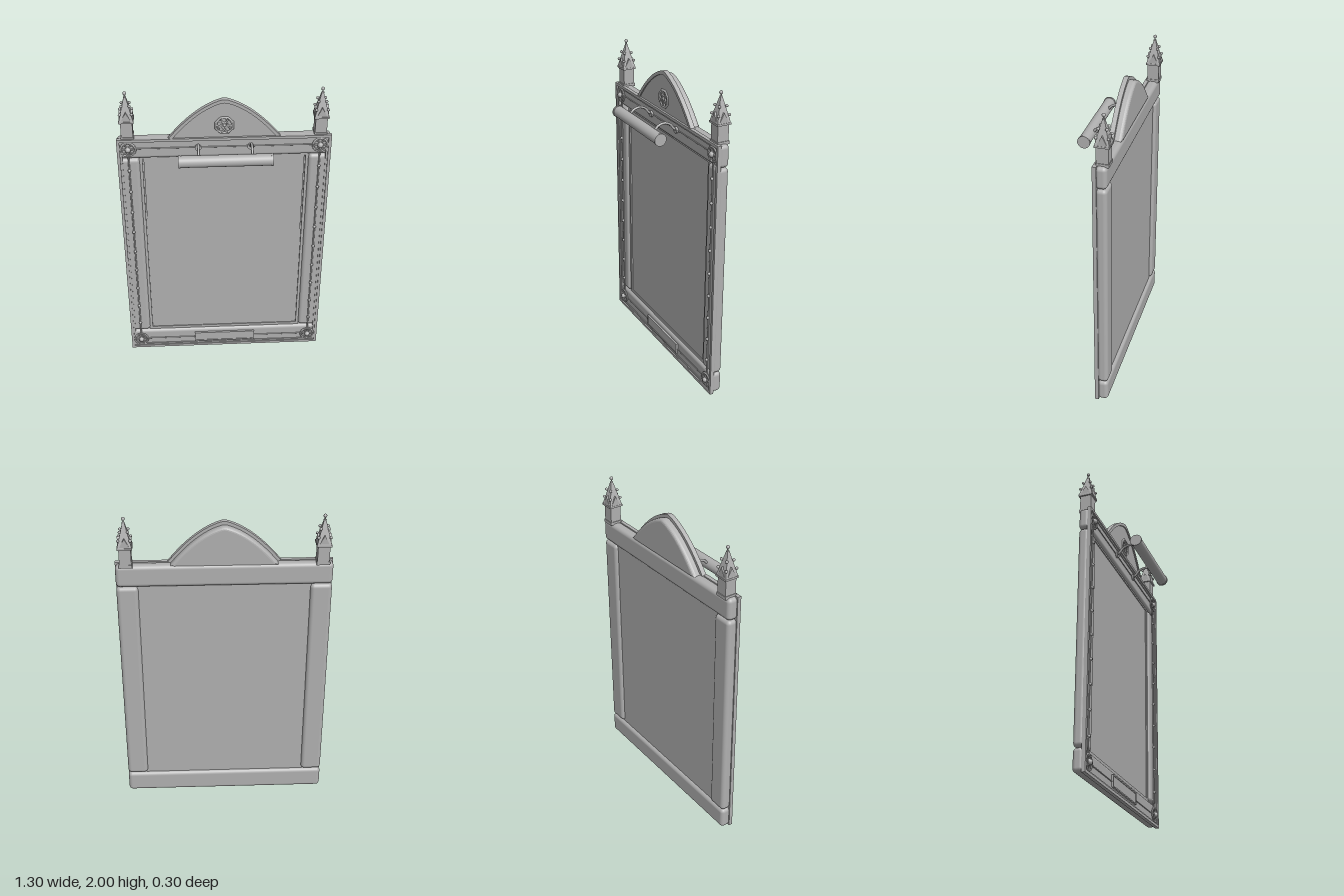
import * as THREE from 'three';
import { RoundedBoxGeometry } from 'three/addons/geometries/RoundedBoxGeometry.js';

const grey = new THREE.MeshStandardMaterial({ color: 0xb0b0b0 });
grey.name = 'plain grey';

function add(parent, name, geometry, x = 0, y = 0, z = 0) {
  const mesh = new THREE.Mesh(geometry, grey);
  mesh.name = name;
  mesh.position.set(x, y, z);
  parent.add(mesh);
  return mesh;
}

function box(parent, name, x0, x1, y0, y1, z0, z1, r = 0) {
  const w = x1 - x0, h = y1 - y0, d = z1 - z0;
  const g = r ? new RoundedBoxGeometry(w, h, d, 4, r) : new THREE.BoxGeometry(w, h, d);
  return add(parent, name, g, (x0 + x1) / 2, (y0 + y1) / 2, (z0 + z1) / 2);
}

function rectPath(Type, x, y0, y1) {
  const p = new Type();
  p.moveTo(-x, y0);
  p.lineTo(x, y0);
  p.lineTo(x, y1);
  p.lineTo(-x, y1);
  p.closePath();
  return p;
}

// Rectangular ring with a square section, given by its outer size and width
function border(parent, name, x, y0, y1, w, z0, z1) {
  const shape = rectPath(THREE.Shape, x, y0, y1);
  shape.holes.push(rectPath(THREE.Path, x - w, y0 + w, y1 - w));
  add(parent, name, new THREE.ExtrudeGeometry(shape, { depth: z1 - z0, bevelEnabled: false }), 0, 0, z0);
}

// Pointed arch; w is the half width at the foot
function archPath(Type, w, y0, top) {
  const p = new Type(), h = top - y0;
  p.moveTo(-w, y0);
  p.lineTo(w, y0);
  p.quadraticCurveTo(w * 0.52, y0 + h * 0.8, 0.02, top - 0.003);
  p.quadraticCurveTo(0, top + 0.003, -0.02, top - 0.003);
  p.quadraticCurveTo(-w * 0.52, y0 + h * 0.8, -w, y0);
  return p;
}

// Round tracery: an outer ring, a circle of small rings and a centre boss
function rosette(name, radius, petals, sides, boss) {
  const g = new THREE.Group();
  g.name = name;
  const t = radius * 0.12;
  add(g, 'rosetteRing', new THREE.TorusGeometry(radius - t, t, 6, sides)).rotation.z = Math.PI / sides;
  for (let i = 0; i < petals; i++) {
    const a = Math.PI / 2 + i * 2 * Math.PI / petals;
    add(g, 'rosettePetal', new THREE.TorusGeometry(radius * 0.27, t * 0.8, 6, 14),
      Math.cos(a) * radius * 0.53, Math.sin(a) * radius * 0.53, 0);
  }
  add(g, 'rosetteBoss', new THREE.SphereGeometry(boss, 12, 8), 0, 0, boss * 0.3);
  return g;
}

// Square turret with gables, spire, crockets and finial
function pinnacle() {
  const g = new THREE.Group();
  g.name = 'pinnacle';
  box(g, 'pinnacleFoot', -0.04, 0.04, 1.69, 1.71, -0.04, 0.04);
  box(g, 'pinnacleShaft', -0.036, 0.036, 1.7, 1.815, -0.036, 0.036);
  box(g, 'pinnacleEaves', -0.045, 0.045, 1.808, 1.82, -0.045, 0.045);
  const spire = new THREE.CylinderGeometry(0.005 * Math.SQRT2, 0.043 * Math.SQRT2, 0.15, 4).toNonIndexed();
  spire.computeVertexNormals();
  add(g, 'spire', spire.rotateY(Math.PI / 4), 0, 1.895, 0);
  const gable = new THREE.Shape([[-0.032, 1.82], [0.032, 1.82], [0, 1.88]].map(p => new THREE.Vector2(...p)));
  for (let i = 0; i < 4; i++) {
    const side = new THREE.Group();
    side.name = 'pinnacleSide';
    side.rotation.y = i * Math.PI / 2;
    g.add(side);
    add(side, 'gable', new THREE.ExtrudeGeometry(gable, { depth: 0.022, bevelEnabled: false }), 0, 0, 0.02);
    for (const [r, y] of [[0.036, 1.865], [0.024, 1.915]]) {
      add(side, 'crocket', new THREE.SphereGeometry(0.009, 10, 8), r, y, r);
    }
  }
  add(g, 'finialCollar', new THREE.CylinderGeometry(0.009, 0.009, 0.007, 12), 0, 1.963, 0);
  add(g, 'finialStem', new THREE.CylinderGeometry(0.004, 0.004, 0.03, 8), 0, 1.975, 0);
  add(g, 'finialBall', new THREE.SphereGeometry(0.011, 12, 8), 0, 1.989, 0);
  return g;
}

export function createModel() {
  const model = new THREE.Group();
  model.name = 'ornateFrame';

  // Cushioned rails and stiles
  const back = -0.135, front = -0.066;
  box(model, 'bottomRail', -0.65, 0.65, 0.005, 0.148, back, front, 0.025);
  box(model, 'topRail', -0.65, 0.65, 1.557, 1.697, back, front, 0.025);
  for (const s of [-1, 1]) {
    const x = s * 0.584;
    box(model, 'stile', x - 0.066, x + 0.066, 0.15, 1.555, back, front, 0.025);
  }

  // Edge mouldings on the front
  border(model, 'outerLip', 0.652, 0, 1.7, 0.018, -0.076, -0.052);
  border(model, 'innerLip', 0.634, 0.018, 1.682, 0.012, -0.076, -0.06);

  // Picture panel with its slip
  box(model, 'panel', -0.525, 0.525, 0.14, 1.565, -0.115, -0.095);
  border(model, 'panelSlip', 0.522, 0.146, 1.566, 0.02, -0.1, -0.082);
  box(model, 'pictureSurface', -0.495, 0.495, 0.165, 1.545, -0.1, -0.087);

  // Beaded rods, horizontal rods and corner rosettes
  for (const s of [-1, 1]) {
    const x = s * 0.585;
    add(model, 'sideRod', new THREE.CylinderGeometry(0.005, 0.005, 1.55, 8), x, 0.852, -0.064);
    for (let i = 0; i < 9; i++) {
      add(model, 'bead', new THREE.SphereGeometry(0.01, 12, 8), x, 0.226 + i * 0.1565, -0.06);
    }
    for (const y of [0.075, 1.63]) {
      const r = rosette('cornerRosette', 0.052, 6, 16, 0.018);
      r.position.set(x, y, -0.059);
      model.add(r);
    }
  }
  for (const y of [0.075, 1.632]) {
    add(model, 'crossRod', new THREE.CylinderGeometry(0.004, 0.004, 1.17, 8), 0, y, -0.065).rotation.z = Math.PI / 2;
  }

  // Blank plaque on the bottom rail
  box(model, 'plaque', -0.2, 0.2, 0.047, 0.111, -0.075, -0.057);
  const rim = rectPath(THREE.Shape, 0.207, 0.041, 0.117);
  rim.holes.push(rectPath(THREE.Path, 0.199, 0.049, 0.109));
  add(model, 'plaqueRim', new THREE.ExtrudeGeometry(rim, { depth: 0.022, bevelEnabled: false }), 0, 0, -0.075);

  // Pointed pediment: cushioned back, front board and raised rim
  add(model, 'pedimentBack', new THREE.ExtrudeGeometry(archPath(THREE.Shape, 0.325, 1.69, 1.935), {
    depth: 0.022, bevelSize: 0.018, bevelOffset: -0.018, bevelThickness: 0.018, bevelSegments: 4, curveSegments: 24,
  }), 0, 0, -0.114);
  const flat = { bevelEnabled: false, curveSegments: 24 };
  add(model, 'pedimentBoard', new THREE.ExtrudeGeometry(archPath(THREE.Shape, 0.34, 1.69, 1.952),
    { ...flat, depth: 0.02 }), 0, 0, -0.085);
  const rimShape = archPath(THREE.Shape, 0.346, 1.69, 1.955);
  rimShape.holes.push(archPath(THREE.Path, 0.315, 1.697, 1.932));
  add(model, 'pedimentRim', new THREE.ExtrudeGeometry(rimShape, { ...flat, depth: 0.029 }), 0, 0, -0.086);
  const rose = rosette('pedimentRose', 0.063, 5, 8, 0.01);
  rose.position.set(0, 1.78, -0.064);
  model.add(rose);

  // Pinnacles
  for (const s of [-1, 1]) {
    const p = pinnacle();
    p.position.set(s * 0.585, 0, -0.103);
    model.add(p);
  }

  // Picture lamp on two curved arms
  const lamp = new THREE.Group();
  lamp.name = 'pictureLamp';
  model.add(lamp);
  add(lamp, 'lampTube', new THREE.CylinderGeometry(0.036, 0.036, 0.55, 32), 0, 1.64, 0.11).rotation.z = Math.PI / 2;
  const arm = new THREE.CatmullRomCurve3([
    [-0.07, 1.63], [-0.045, 1.645], [-0.02, 1.675], [0.02, 1.69], [0.06, 1.68], [0.085, 1.655],
  ].map(([z, y]) => new THREE.Vector3(0, y, z)));
  for (const s of [-1, 1]) {
    add(lamp, 'lampCap', new THREE.CylinderGeometry(0.039, 0.039, 0.012, 32), s * 0.276, 1.64, 0.11).rotation.z = Math.PI / 2;
    add(lamp, 'lampArm', new THREE.TubeGeometry(arm, 24, 0.008, 8), s * 0.16, 0, 0);
    add(lamp, 'armMount', new THREE.CylinderGeometry(0.02, 0.02, 0.014, 16), s * 0.16, 1.632, -0.06).rotation.x = Math.PI / 2;
  }
  return model;
}
